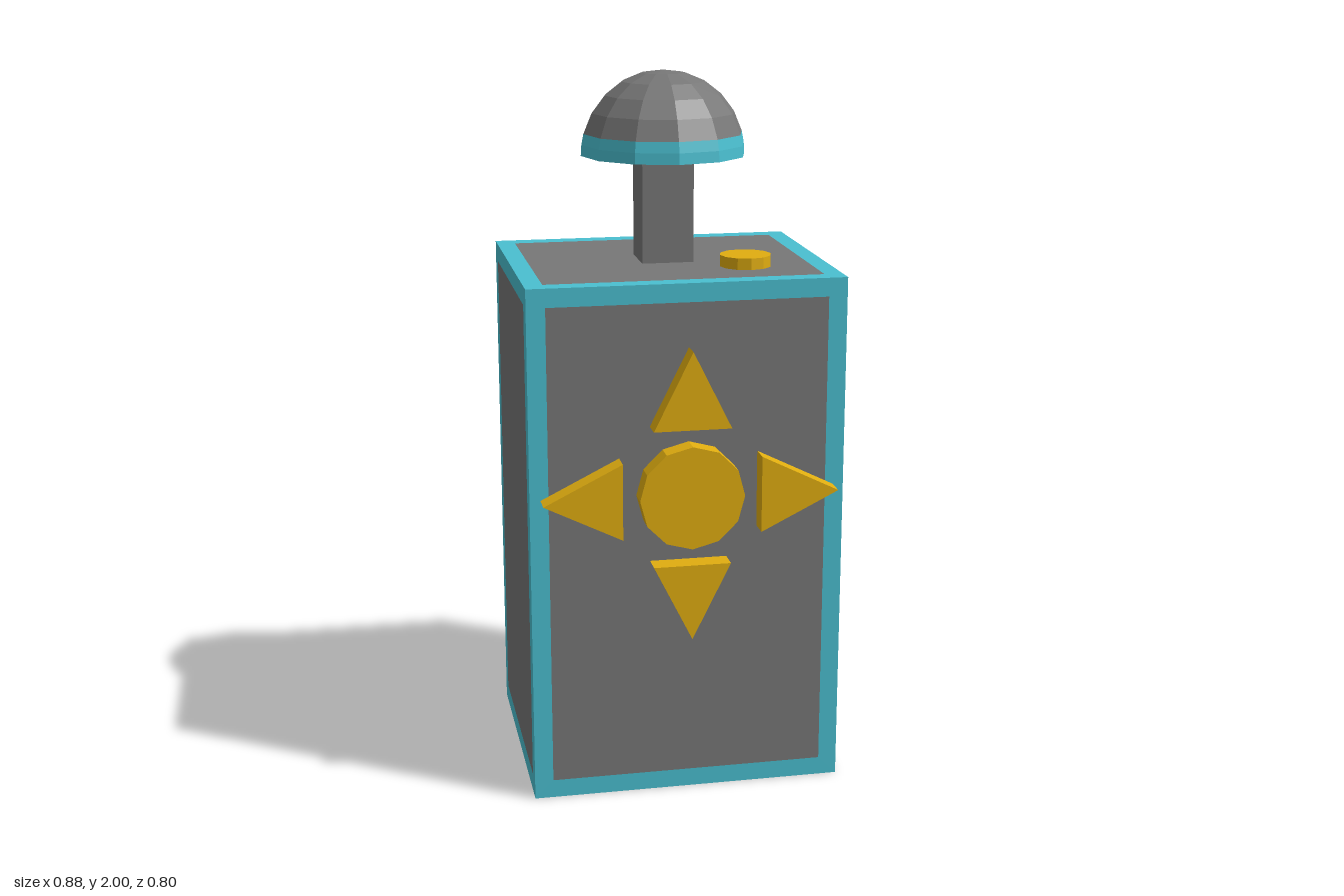
import * as THREE from 'three';

const mat = (color) => new THREE.MeshStandardMaterial({ color, flatShading: true });

export function createModel() {
  const grey = mat(0x777777), cyan = mat(0x4abfd0), yellow = mat(0xe0ad10);
  const model = new THREE.Group();
  model.name = 'joystickBox';

  const add = (parent, name, geometry, material, x = 0, y = 0, z = 0) => {
    const mesh = new THREE.Mesh(geometry, material);
    mesh.name = name;
    mesh.position.set(x, y, z);
    parent.add(mesh);
    return mesh;
  };

  // Box body: flat sides, each a grey panel flush inside a cyan border
  const W = 0.88, H = 1.47, D = 0.735, border = 0.052;
  const midZ = -0.0325;
  const body = new THREE.Group();
  body.name = 'body';
  body.position.set(0, H / 2, midZ);
  model.add(body);

  const rectangle = (path, w, h) => path
    .moveTo(-w / 2, -h / 2).lineTo(w / 2, -h / 2)
    .lineTo(w / 2, h / 2).lineTo(-w / 2, h / 2).closePath();

  const addSide = (name, w, h, distance, rx, ry) => {
    const side = new THREE.Group();
    side.name = name;
    side.rotation.set(rx, ry, 0);
    const iw = w - 2 * border, ih = h - 2 * border;
    const ring = new THREE.Shape(), hole = new THREE.Path();
    rectangle(ring, w, h);
    rectangle(hole, iw, ih);
    ring.holes.push(hole);
    add(side, name + 'Border', new THREE.ShapeGeometry(ring), cyan, 0, 0, distance);
    add(side, name + 'Panel', new THREE.PlaneGeometry(iw, ih), grey, 0, 0, distance);
    body.add(side);
  };
  addSide('front', W, H, D / 2, 0, 0);
  addSide('leftSide', D, H, W / 2, 0, Math.PI / 2);
  addSide('rightSide', D, H, W / 2, 0, -Math.PI / 2);
  addSide('top', W, D, H / 2, -Math.PI / 2, 0);
  addSide('bottom', W, D, H / 2, Math.PI / 2, 0);

  // The back is one plain panel
  add(body, 'backPanel', new THREE.PlaneGeometry(W, H), grey, 0, 0, -D / 2).rotation.y = Math.PI;

  // Stick: square stem under a faceted half-ball knob with a cyan rim
  const stick = new THREE.Group();
  stick.name = 'stick';
  stick.position.set(0, H, midZ);
  model.add(stick);
  const stemH = 0.297, R = 0.234;
  add(stick, 'stem', new THREE.BoxGeometry(0.146, stemH, 0.146), grey, 0, stemH / 2, 0);
  const rimAngle = Math.PI * 5 / 12;
  add(stick, 'knob', new THREE.SphereGeometry(R, 12, 5, 0, Math.PI * 2, 0, rimAngle),
    grey, 0, stemH, 0);
  add(stick, 'knobRim', new THREE.SphereGeometry(R, 12, 1, 0, Math.PI * 2, rimAngle, Math.PI / 12),
    cyan, 0, stemH, 0);
  add(stick, 'knobUnderside', new THREE.CircleGeometry(R, 12), grey, 0, stemH, 0)
    .rotation.x = Math.PI / 2;

  // Small round button on top
  add(model, 'topButton', new THREE.CylinderGeometry(0.073, 0.073, 0.032, 12), yellow,
    0.205, H + 0.016, 0.117);

  // Front pad: round button with four arrows around it
  const pad = new THREE.Group();
  pad.name = 'directionPad';
  pad.position.set(0, 0.885, midZ + D / 2);
  model.add(pad);
  const depth = 0.06;
  add(pad, 'centreButton', new THREE.CylinderGeometry(0.146, 0.146, depth, 12), yellow,
    0, 0, depth / 2).rotation.x = Math.PI / 2;

  const triangle = new THREE.Shape()
    .moveTo(-0.108, 0.193).lineTo(0.108, 0.193).lineTo(0, 0.41).closePath();
  const arrow = new THREE.ExtrudeGeometry(triangle, { depth, bevelEnabled: false });
  ['upArrow', 'rightArrow', 'downArrow', 'leftArrow'].forEach((name, i) => {
    add(pad, name, arrow, yellow).rotation.z = i * Math.PI / 2;
  });

  return model;
}
